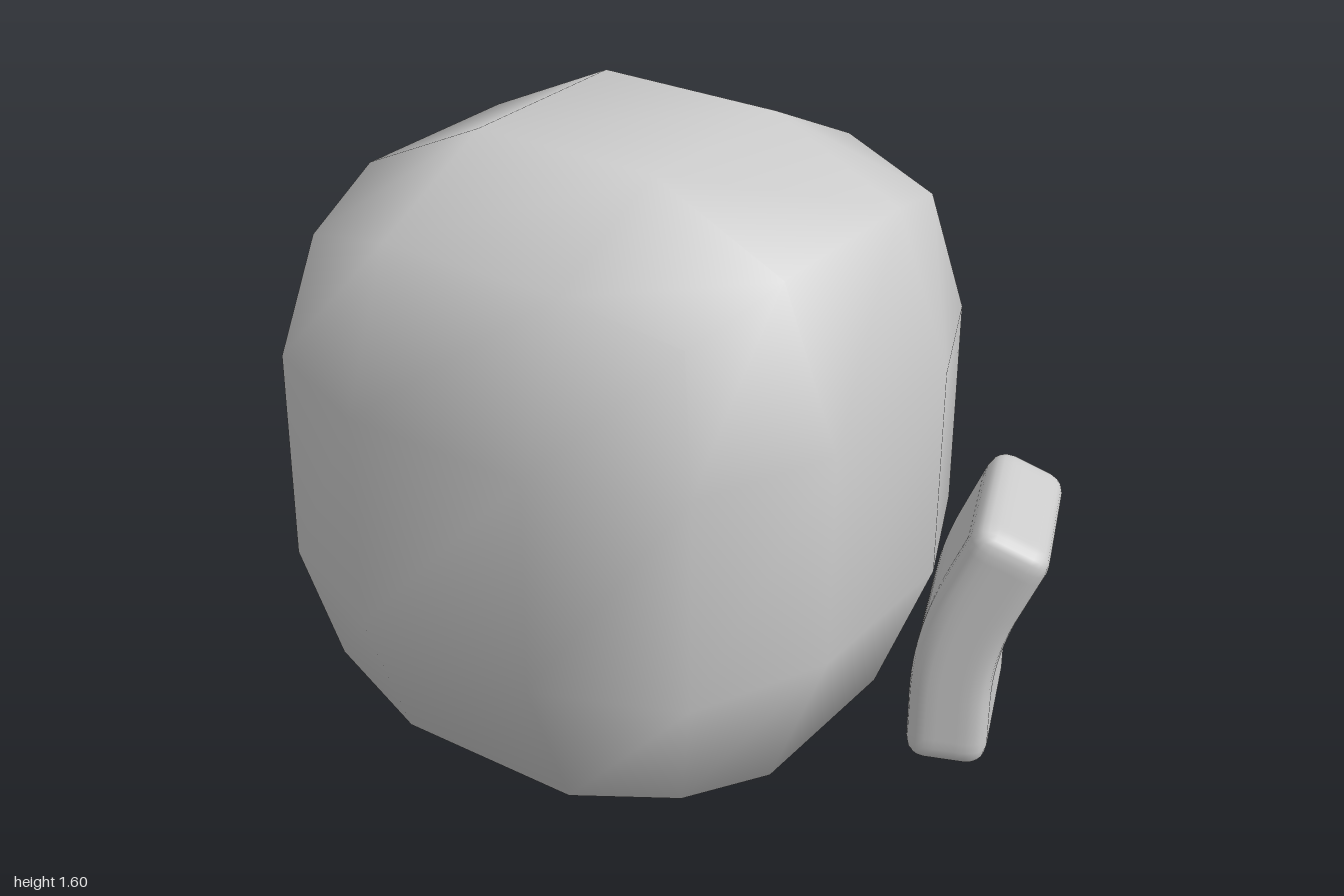
import * as THREE from 'three';
import { mergeVertices } from 'three/addons/utils/BufferGeometryUtils.js';

const material = new THREE.MeshStandardMaterial({ color: 0xcccccc });

// Joins the faces of a box so that its normals run smoothly round the edges
function smooth(geometry) {
  geometry.deleteAttribute('uv');
  geometry.deleteAttribute('normal');
  const merged = mergeVertices(geometry, 1e-4);
  merged.computeVertexNormals();
  return merged;
}

// Moves every vertex of a geometry by a rule
function reshape(geometry, rule) {
  const pos = geometry.attributes.position;
  const v = new THREE.Vector3();
  for (let i = 0; i < pos.count; i++) {
    rule(v.fromBufferAttribute(pos, i));
    pos.setXYZ(i, v.x, v.y, v.z);
  }
  return geometry;
}

// Ball-like cube, three quads per side: edges and corners are pulled inwards
function bodyGeometry() {
  const pull = [1, 1, 0.8, 0.71];
  const box = reshape(new THREE.BoxGeometry(2, 2, 2, 3, 3, 3), (v) => {
    const outer = (c) => Math.abs(c) > 0.9;
    const k = pull[[v.x, v.y, v.z].filter(outer).length];
    for (const axis of ['x', 'y', 'z']) if (outer(v[axis])) v[axis] *= k;
  });
  box.scale(0.72, 0.795, 0.72);
  return smooth(box);
}

// Rounded slab whose upper half bends outwards (+x)
function legGeometry() {
  const half = new THREE.Vector3(0.1, 0.3375, 0.225);
  const r = 0.05;
  const inner = half.clone().subScalar(r);
  const innerMin = inner.clone().negate();
  const bendStart = 0.18, bendLength = 0.3, angle = 0.4;
  const radius = bendLength / angle;
  const core = new THREE.Vector3();
  const box = new THREE.BoxGeometry(half.x * 2, half.y * 2, half.z * 2, 8, 27, 18);
  reshape(box, (v) => {
    // round the edges
    core.copy(v).clamp(innerMin, inner);
    v.sub(core).setLength(r).add(core);
    // bend along an arc, then continue straight
    const s = v.y + half.y;
    const a = THREE.MathUtils.clamp((s - bendStart) / bendLength, 0, 1) * angle;
    const rest = Math.max(0, s - bendStart - bendLength);
    const cx = radius * (1 - Math.cos(a)) + rest * Math.sin(a);
    const cy = Math.min(s, bendStart) + radius * Math.sin(a) + rest * Math.cos(a);
    const x = v.x;
    v.x = cx + x * Math.cos(a);
    v.y = cy - x * Math.sin(a);
  });
  return smooth(box);
}

export function createModel() {
  const model = new THREE.Group();
  model.name = 'model';

  const body = new THREE.Mesh(bodyGeometry(), material);
  body.name = 'body';
  body.position.set(0.025, 0.805, 0.115);
  model.add(body);

  // Three legs round the back and sides, each turned to face outwards
  const geometry = legGeometry();
  const legs = [
    ['leftLeg', 0.73, -0.32, 0.38],
    ['backLeg', -0.245, -0.595, 1.78],
    ['rightLeg', -0.743, -0.07, 2.92],
  ];
  for (const [name, x, z, turn] of legs) {
    const leg = new THREE.Mesh(geometry, material);
    leg.name = name;
    leg.position.set(x, 0, z);
    leg.rotation.y = turn;
    model.add(leg);
  }
  return model;
}
